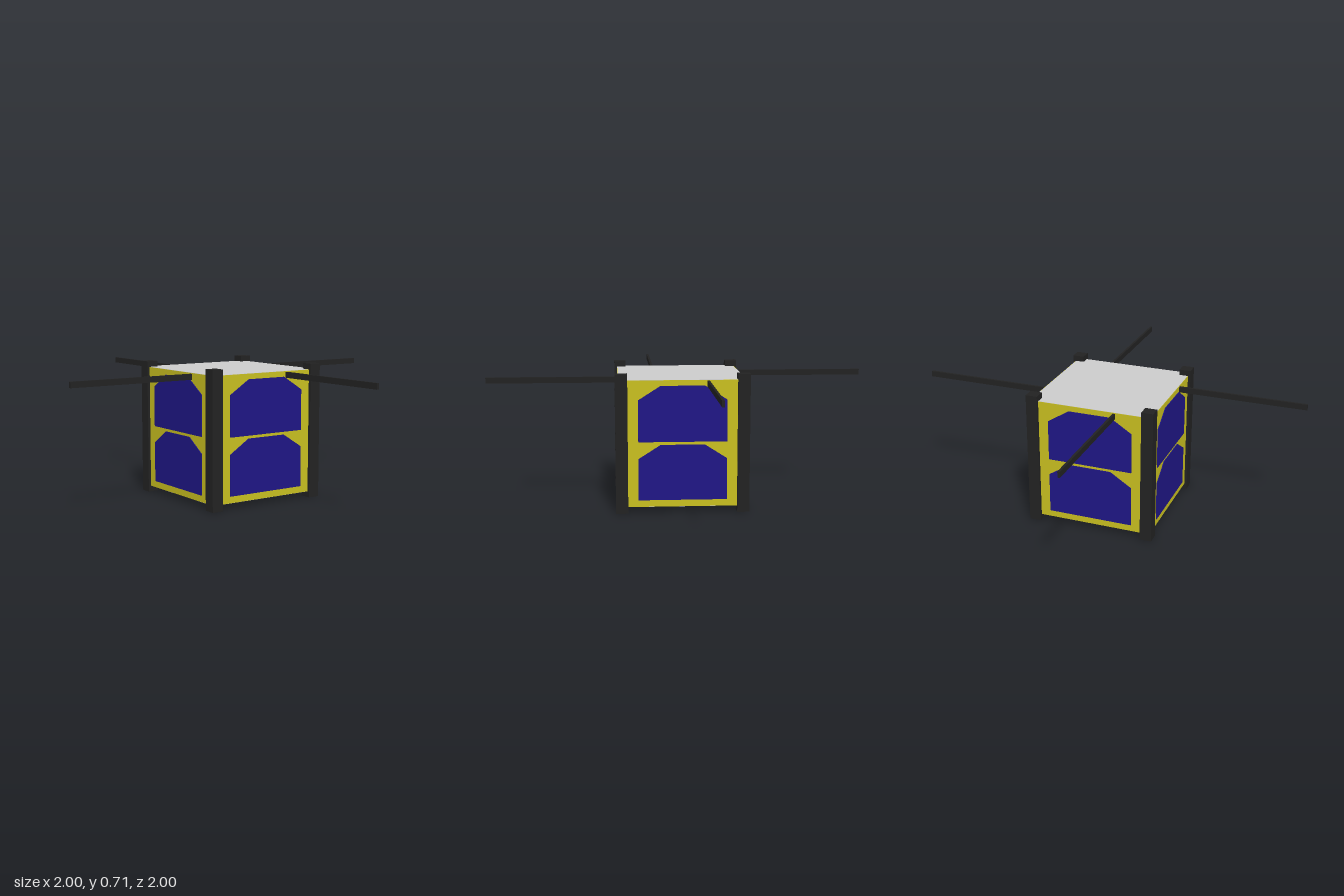
import * as THREE from 'three';

export function createModel() {
  const model = new THREE.Group();
  const mat = (color) => new THREE.MeshStandardMaterial({ color, flatShading: true });
  const grey = mat(0xcccccc), black = mat(0x222222), yellow = mat(0xc8bf20), blue = mat(0x1f1685);

  const add = (parent, name, geometry, material, x, y, z) => {
    const mesh = new THREE.Mesh(geometry, material);
    mesh.name = name;
    mesh.position.set(x, y, z);
    parent.add(mesh);
    return mesh;
  };

  // Core whose top and bottom show as grey plates
  add(model, 'body', new THREE.BoxGeometry(0.648, 0.65, 0.648), grey, 0, 0.355, 0);

  // Solar cell outline: rectangle with its two upper corners cut off
  const outline = new THREE.Shape([
    [-0.225, 0], [0.225, 0], [0.225, 0.213], [0.112, 0.285], [-0.112, 0.285], [-0.225, 0.213],
  ].map(([x, y]) => new THREE.Vector2(x, y)));
  const cell = new THREE.ExtrudeGeometry(outline, { depth: 0.005, bevelEnabled: false });
  const panel = new THREE.BoxGeometry(0.648, 0.648, 0.003);
  const antenna = new THREE.BoxGeometry(0.012, 0.03, 0.676);
  const rail = new THREE.BoxGeometry(0.062, 0.71, 0.062);

  // Four identical sides, each turned a quarter about the vertical axis
  for (let i = 0; i < 4; i++) {
    const side = new THREE.Group();
    side.name = ['front', 'left', 'back', 'right'][i] + 'Side';
    side.rotation.y = i * Math.PI / 2;
    add(side, 'sidePanel', panel, yellow, 0, 0.355, 0.3245);
    add(side, 'lowerSolarCell', cell, blue, 0, 0.066, 0.325);
    add(side, 'upperSolarCell', cell, blue, 0, 0.366, 0.325);
    add(side, 'antenna', antenna, black, 0.13, 0.66, 0.662);
    add(side, 'cornerRail', rail, black, 0.309, 0.355, 0.309);
    model.add(side);
  }
  return model;
}
